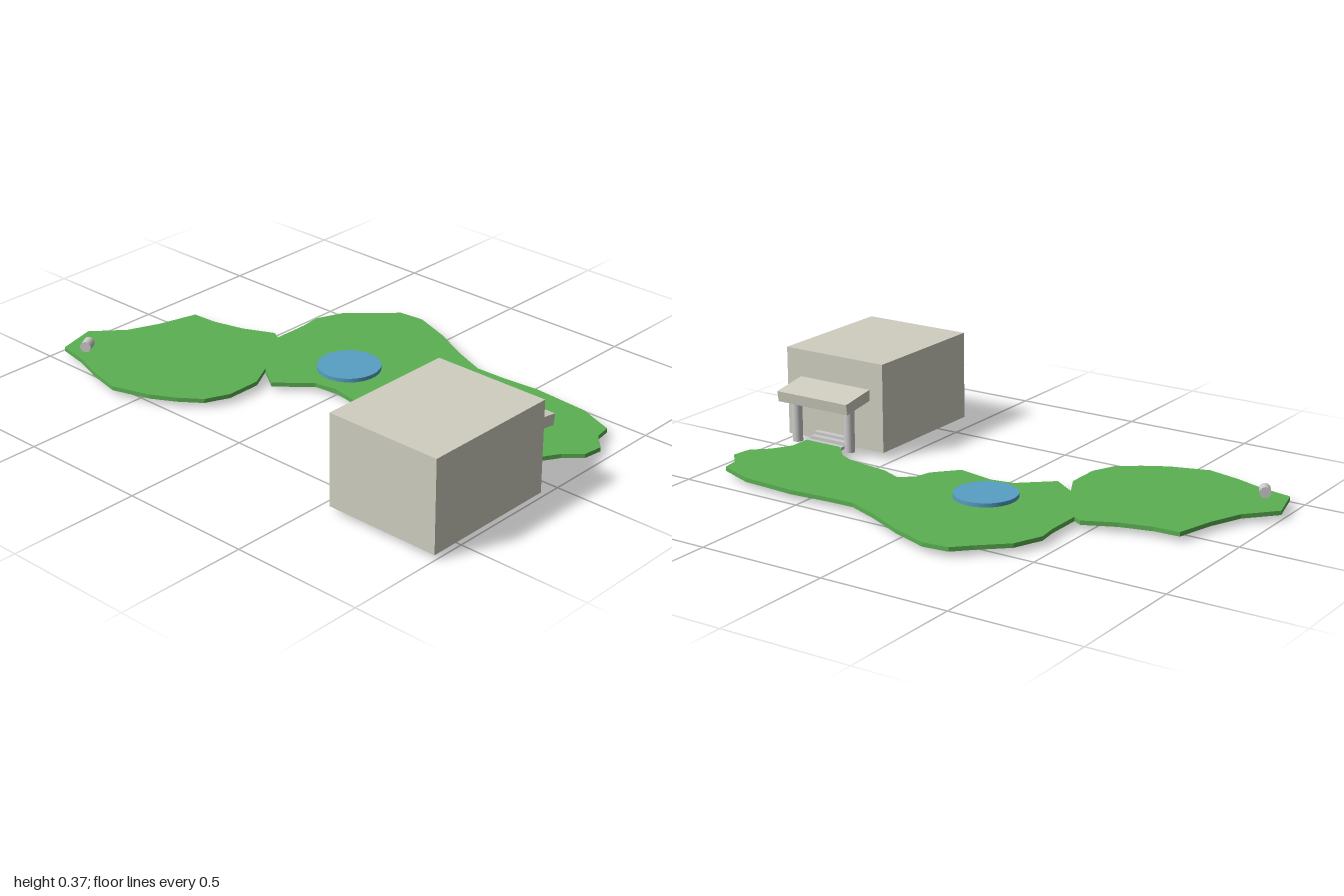
import * as THREE from 'three';

const mat = (color, flatShading = false) => new THREE.MeshStandardMaterial({ color, flatShading });

export function createModel() {
  const group = new THREE.Group();
  const stone = mat(0xcfcec0);
  const grey = mat(0xcccccc);

  const add = (name, geometry, material, x, y, z) => {
    const mesh = new THREE.Mesh(geometry, material);
    mesh.name = name;
    mesh.position.set(x, y, z);
    group.add(mesh);
    return mesh;
  };

  // Lawn: a thin slab with an irregular outline, given as [x, z]
  const outline = [
    [-0.46, -0.96], [-0.31, -1], [-0.2, -0.9], [-0.08, -0.85], [0.07, -0.81], [0.075, -0.71],
    [0.105, -0.59], [0.16, -0.47], [0.14, -0.435], [0.28, -0.435], [0.36, -0.445], [0.47, -0.4],
    [0.56, -0.3], [0.62, -0.24], [0.63, -0.14], [0.575, 0.01], [0.5, 0.16], [0.45, 0.285],
    [0.453, 0.4], [0.465, 0.55], [0.45, 0.77], [0.395, 0.91], [0.33, 0.92], [0.27, 0.975],
    [0.195, 0.965], [0.14, 0.905], [0.065, 0.86], [-0.02, 0.86], [-0.02, 0.7], [0.05, 0.635],
    [0.08, 0.575], [0.105, 0.4], [0.14, 0.32], [0.1, 0.265], [0.035, 0.25], [-0.055, 0.17],
    [-0.025, 0.02], [-0.04, -0.07], [-0.145, -0.19], [-0.08, -0.285], [-0.175, -0.235],
    [-0.31, -0.235], [-0.4, -0.275], [-0.46, -0.355], [-0.51, -0.445], [-0.555, -0.59],
    [-0.525, -0.72], [-0.485, -0.835],
  ];
  const shape = new THREE.Shape(outline.map(([x, z]) => new THREE.Vector2(x, -z)));
  const lawn = new THREE.ExtrudeGeometry(shape, { depth: 0.016, bevelEnabled: false });
  lawn.rotateX(-Math.PI / 2);
  add('lawn', lawn, mat(0x5bb052, true), 0, 0.02, 0);

  // Round pond passing through the lawn
  add('pond', new THREE.CylinderGeometry(0.118, 0.118, 0.051, 48), mat(0x579fc4), 0.133, 0.0255, -0.064);

  // House and its sloping porch roof
  add('house', new THREE.BoxGeometry(0.54, 0.345, 0.45), stone, -0.361, 0.1925, 0.775);
  const roof = add('porchRoof', new THREE.BoxGeometry(0.16, 0.042, 0.325), stone, -0.028, 0.227, 0.773);
  roof.rotation.z = -0.155;

  // Porch posts
  for (const z of [0.662, 0.91]) {
    add('porchPost', new THREE.CylinderGeometry(0.02, 0.02, 0.19, 24), grey, -0.03, 0.117, z);
  }

  // Steps leading down from the house
  [0.056, 0.045, 0.032].forEach((top, i) => {
    add('step', new THREE.BoxGeometry(0.022, top - 0.02, 0.16), grey, -0.08 + i * 0.022, (top + 0.02) / 2, 0.78);
  });

  // Small drum lying on its side at the far end of the lawn
  const drum = new THREE.CylinderGeometry(0.021, 0.021, 0.046, 16);
  drum.rotateZ(Math.PI / 2);
  add('drum', drum, grey, -0.415, 0.056, -0.883).rotation.y = Math.PI / 6;

  return group;
}
